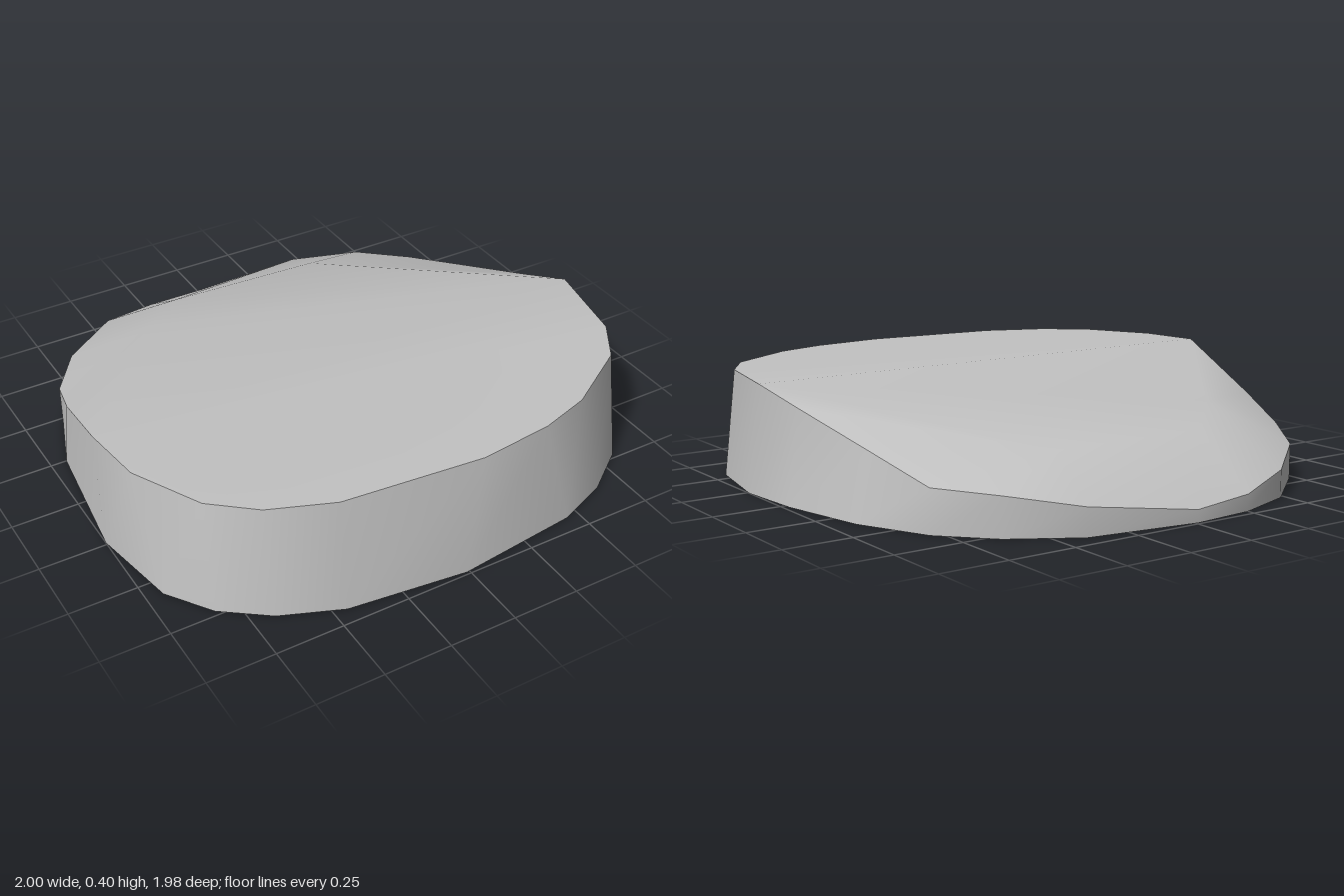
import * as THREE from 'three';

const H = 0.4;

// Around the slab from the front towards +x: [base x, base z, rim x, rim z, rim height, ridge point]
const SECTIONS = [
  [-0.01, 0.99, 0.09, 0.915, H],
  [0.45, 0.935, 0.37, 0.88, H],
  [0.65, 0.855, 0.56, 0.82, H],
  [0.82, 0.73, 0.82, 0.655, H],
  [0.94, 0.56, 0.92, 0.5, H],
  [1, 0.24, 0.99, 0.16, H],
  [0.98, -0.03, 0.94, -0.03, 0.338, 0],
  [0.91, -0.36, 0.856, -0.36, 0.236, 0],
  [0.79, -0.62, 0.79, -0.62, 0.155, 0],
  [0.63, -0.79, 0.63, -0.79, 0.14, 0],
  [0.4, -0.93, 0.4, -0.93, 0.1, 0],
  [-0.01, -0.99, -0.01, -0.99, 0.045, 1],
  [-0.25, -0.97, -0.25, -0.97, 0.06, 1],
  [-0.48, -0.89, -0.48, -0.89, 0.1, 1],
  [-0.72, -0.69, -0.72, -0.69, 0.13, 2],
  [-0.86, -0.47, -0.86, -0.47, 0.16, 2],
  [-0.94, -0.25, -0.915, -0.25, 0.24, 2],
  [-1, 0.24, -0.98, 0.16, H],
  [-0.94, 0.57, -0.95, 0.4, H],
  [-0.83, 0.73, -0.82, 0.655, H],
  [-0.67, 0.85, -0.67, 0.78, H],
  [-0.45, 0.94, -0.44, 0.87, H],
];
const RIGHT = 5, LEFT = 17; // ends of the level front half of the rim

// Inner crest where the sloping top breaks down to the thin back edge
const RIDGE = [[0.34, 0.23, -0.68], [-0.27, 0.235, -0.7], [-0.48, 0.285, -0.5]];

function surface(points, index) {
  const g = new THREE.BufferGeometry();
  g.setAttribute('position', new THREE.Float32BufferAttribute(points.flat(), 3));
  g.setIndex(index);
  g.computeVertexNormals();
  return g;
}

// Triangles fanned from the first corner of a loop
function fan(loop) {
  const out = [];
  for (let i = 1; i < loop.length - 1; i++) out.push(loop[0], loop[i], loop[i + 1]);
  return out;
}

export function createModel() {
  const group = new THREE.Group();
  group.name = 'stoneSlab';
  const stone = new THREE.MeshStandardMaterial({ color: 0xc2c2c2 });
  stone.name = 'light grey stone';
  const add = (name, geometry) => {
    const mesh = new THREE.Mesh(geometry, stone);
    mesh.name = name;
    group.add(mesh);
  };

  const n = SECTIONS.length;
  const base = SECTIONS.map(([x, z]) => [x, 0, z]);
  const rim = SECTIONS.map(([, , x, z, y]) => [x, y, z]);
  const all = [...Array(n).keys()];

  // Side wall, smooth around the outline
  const wall = [];
  for (const i of all) {
    const j = (i + 1) % n;
    wall.push(i, j, n + j, i, n + j, n + i);
  }
  add('sideWall', surface([...base, ...rim], wall));

  // Flat underside
  add('underside', surface(base, fan([...all].reverse())));

  // Top: level front, sloping middle, and bevels down to the back edge
  const top = fan([LEFT, ...all.slice(LEFT + 1), ...all.slice(0, RIGHT + 1)]);
  top.push(...fan([RIGHT, n, n + 1, n + 2, LEFT]));
  for (let i = RIGHT; i < LEFT; i++) {
    const a = SECTIONS[i][5] ?? SECTIONS[i + 1][5];
    const b = SECTIONS[i + 1][5] ?? a;
    top.push(i, i + 1, n + b);
    if (a !== b) top.push(i, n + b, n + a);
  }
  add('topFace', surface([...rim, ...RIDGE], top));

  return group;
}
